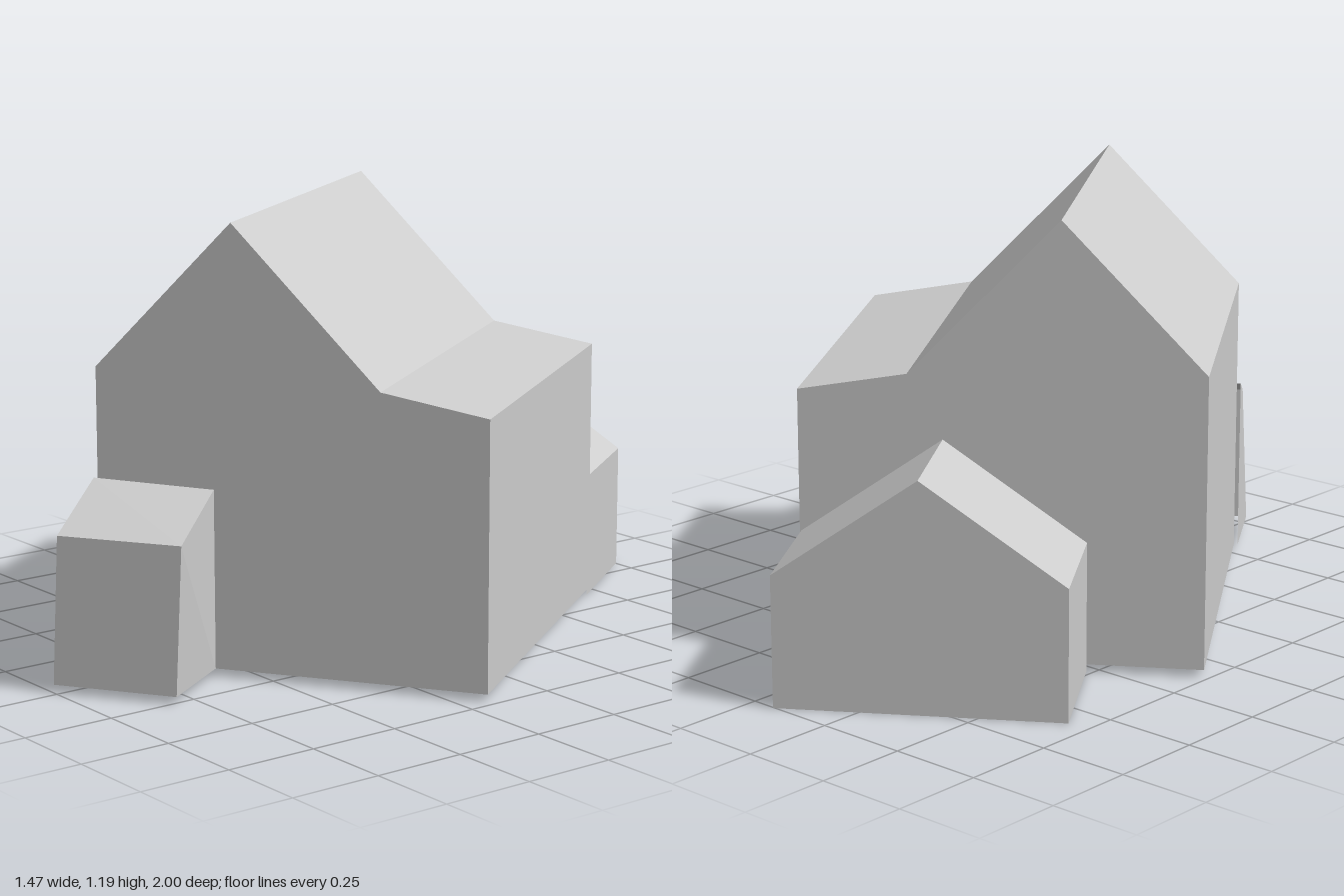
import * as THREE from 'three';

const wallGrey = new THREE.MeshStandardMaterial({ color: 0xcccccc, side: THREE.DoubleSide });
wallGrey.name = 'wall grey';

// Flat-faced shell from polygons, each a loop of corners fanned from its first corner.
function shell(name, polygons) {
  const pos = [];
  for (const p of polygons)
    for (let i = 1; i < p.length - 1; i++) pos.push(...p[0], ...p[i], ...p[i + 1]);
  const geo = new THREE.BufferGeometry();
  geo.setAttribute('position', new THREE.Float32BufferAttribute(pos, 3));
  geo.computeVertexNormals();
  const mesh = new THREE.Mesh(geo, wallGrey);
  mesh.name = name;
  return mesh;
}

export function createModel() {
  const model = new THREE.Group();
  model.name = 'house';

  // Main house: gable profile with a shallow side roof, extruded along the ridge
  const zBack = -0.503, zFront = 0.557;
  const gable = new THREE.Shape([
    [-0.55, 0.02], [0.505, 0.02], [0.505, 0.73], [0.22, 0.78], [-0.176, 1.19], [-0.55, 0.8],
  ].map(([x, y]) => new THREE.Vector2(x, y)));
  const bodyGeo = new THREE.ExtrudeGeometry(gable, { depth: zFront - zBack, bevelEnabled: false });
  bodyGeo.translate(0, 0, zBack);
  const body = new THREE.Mesh(bodyGeo, wallGrey);
  body.name = 'mainHouse';
  model.add(body);

  // Rear extension: small gable, open underneath and towards the house
  const profile = [[-0.245, 0], [-0.245, 0.35], [0.128, 0.61], [0.501, 0.35], [0.501, 0]];
  const near = profile.map(([x, y]) => [x, y, zBack]);
  const far = profile.map(([x, y]) => [x, y, -0.872]);
  const faces = [far];
  for (let i = 0; i < 4; i++) faces.push([far[i], near[i], near[i + 1], far[i + 1]]);
  model.add(shell('rearExtension', faces));

  // Front porch: sloping top and slightly leaning walls, open underneath
  const inLT = [-0.561, 0.505, zFront], inRT = [-0.228, 0.497, zFront];
  const inLB = [-0.561, 0.02, zFront], inRB = [-0.228, 0.02, zFront];
  const outLT = [-0.55, 0.415, 0.823], outRT = [-0.216, 0.413, 0.818];
  const outLB = [-0.568, 0.022, 0.823], outRB = [-0.234, 0.02, 0.818];
  model.add(shell('frontPorch', [
    [inLT, outLT, outRT, inRT],
    [outLB, outRB, outRT, outLT],
    [inLT, inLB, outLB, outLT],
    [outRT, outRB, inRB, inRT],
  ]));

  // The house stands turned on its plot
  model.rotation.y = 0.59;
  const root = new THREE.Group();
  root.add(model);
  return root;
}
